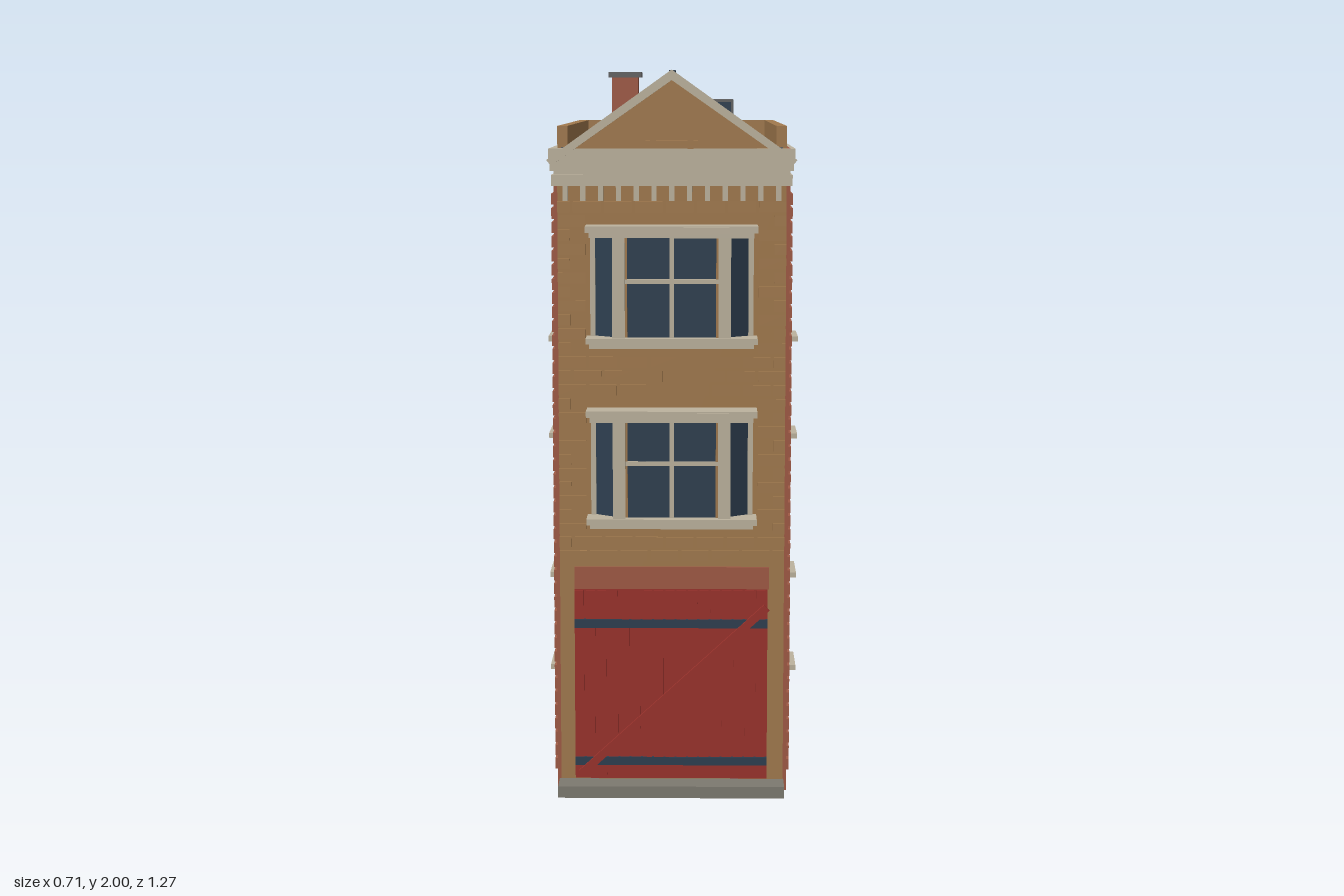
import * as THREE from 'three';
import { mergeGeometries } from 'three/addons/utils/BufferGeometryUtils.js';

const material = (name, color) => {
  const m = new THREE.MeshStandardMaterial({ color });
  m.name = name;
  return m;
};
const M = {
  red: material('red brick', 0xa05a45),
  tan: material('tan brick', 0xa27a4e),
  stone: material('pale stone', 0xbdb39e),
  navy: material('navy slate and glass', 0x2e3f50),
  deck: material('roof grey', 0x626262),
  door: material('door red', 0x9a322c),
  step: material('step grey', 0x7d7a70),
  iron: material('dark iron', 0x3b4048),
  base: material('foundation', 0x4a463f),
};

// Box geometry given by its extents
function boxGeo(x0, x1, y0, y1, z0, z1) {
  return new THREE.BoxGeometry(x1 - x0, y1 - y0, z1 - z0)
    .translate((x0 + x1) / 2, (y0 + y1) / 2, (z0 + z1) / 2);
}

function add(parent, name, mat, ...geos) {
  const geo = geos.length > 1 ? mergeGeometries(geos) : geos[0];
  const mesh = new THREE.Mesh(geo, mat);
  mesh.name = name;
  parent.add(mesh);
  return mesh;
}

// Outline in x,y pushed out from z0 to z1, with rectangular holes [u0, u1, v0, v1]
function slab(points, z0, z1, holes = []) {
  const shape = new THREE.Shape(points.map(p => new THREE.Vector2(...p)));
  for (const [a, b, c, d] of holes) {
    shape.holes.push(new THREE.Path([[a, c], [a, d], [b, d], [b, c]].map(p => new THREE.Vector2(...p))));
  }
  return new THREE.ExtrudeGeometry(shape, { depth: z1 - z0, bevelEnabled: false }).translate(0, 0, z0);
}

// Raised bricks in running bond on the plane z = 0, leaving the given rectangles bare
function brickwork(u0, u1, v0, v1, holes) {
  const pitch = 0.0385, length = 0.084, gap = 0.009, geos = [];
  const rows = Math.floor((v1 - v0) / pitch);
  for (let r = 0; r < rows; r++) {
    const b = v0 + r * pitch, t = b + pitch - gap;
    for (let u = u0 - (r % 2) * length / 2; u < u1; u += length) {
      const l = Math.max(u, u0), e = Math.min(u + length - gap, u1);
      if (e - l < 0.012) continue;
      if (holes.some(h => l < h[1] && e > h[0] && b < h[3] && t > h[2])) continue;
      geos.push(boxGeo(l, e, b, t, -0.004, 0.007));
    }
  }
  return mergeGeometries(geos);
}

const FLOORS = [[0.285, 0.56], [0.965, 1.245]];
const grow = (h, m) => [h[0] - m, h[1] + m, h[2] - m, h[3] + m];

// Long wall in local x,y facing +z; dir turns it to the +x or -x side
function sideWall(dir) {
  const wall = new THREE.Group();
  wall.name = dir > 0 ? 'leftWall' : 'rightWall';
  wall.rotation.y = dir * Math.PI / 2;
  const at = z => -dir * z;
  const holes = [];
  for (const z of [0.202, -0.312]) for (const [b, t] of FLOORS) holes.push([at(z) - 0.072, at(z) + 0.072, b, t]);
  const ends = [at(-0.628), at(0.54)].sort((a, b) => a - b);
  const outline = [[ends[0], 0], [ends[1], 0], [ends[1], 1.79], [ends[0], 1.79]];
  add(wall, 'wallPanel', M.red, slab(outline, 0.26, 0.32, holes));
  add(wall, 'sideBricks', M.red, brickwork(ends[0], ends[1], 0.06, 1.7, holes.map(h => grow(h, 0.012)))).position.z = 0.32;
  // Recessed windows with tan reveals, stone sills and lintels
  for (const [a, b, c, d] of holes) {
    add(wall, 'sideWindowGlass', M.navy, boxGeo(a, b, c, d, 0.262, 0.27));
    add(wall, 'sideWindowFrame', M.tan,
      boxGeo(a, a + 0.008, c, d, 0.27, 0.333), boxGeo(b - 0.008, b, c, d, 0.27, 0.333));
    add(wall, 'sideSillAndLintel', M.stone,
      boxGeo(a - 0.006, b + 0.006, c - 0.007, c + 0.008, 0.27, 0.355),
      boxGeo(a - 0.006, b + 0.006, d - 0.008, d + 0.007, 0.27, 0.355));
  }
  return wall;
}

// Canted bay window standing on the front wall between two stone ledges
function bayWindow(y0, y1) {
  const bay = new THREE.Group();
  bay.name = 'bayWindow';
  const b = y0 + 0.025, t = y1 - 0.025, mid = (b + t) / 2 + 0.015;
  const plan = [[-0.215, -0.54], [-0.145, -0.592], [0.145, -0.592], [0.215, -0.54]];
  add(bay, 'bayGlass', M.navy, slab(plan, b, t).rotateX(-Math.PI / 2));
  add(bay, 'bayLedges', M.stone,
    boxGeo(-0.222, 0.222, y0, y0 + 0.012, 0.54, 0.618), boxGeo(-0.232, 0.232, y0 + 0.012, y0 + 0.028, 0.54, 0.627),
    boxGeo(-0.222, 0.222, y1 - 0.032, y1 - 0.018, 0.54, 0.618), boxGeo(-0.232, 0.232, y1 - 0.018, y1, 0.54, 0.627),
    boxGeo(-0.155, 0.155, y1 - 0.016, y1 - 0.003, 0.62, 0.633));
  const bars = [boxGeo(-0.006, 0.006, b, t, 0.59, 0.602), boxGeo(-0.14, 0.14, mid - 0.006, mid + 0.006, 0.59, 0.6)];
  for (const s of [-1, 1]) {
    bars.push(boxGeo(s * 0.143 - 0.017, s * 0.143 + 0.017, b, t, 0.58, 0.615));
    bars.push(boxGeo(s * 0.215 - 0.007, s * 0.215 + 0.007, b, t, 0.54, 0.553));
  }
  add(bay, 'bayPosts', M.stone, ...bars);
  add(bay, 'bayInnerFrame', M.tan,
    boxGeo(-0.126, -0.12, b, t, 0.59, 0.598), boxGeo(0.12, 0.126, b, t, 0.59, 0.598));
  return bay;
}

export function createModel() {
  const house = new THREE.Group();
  house.name = 'townhouse';

  // Floor and step
  add(house, 'foundation', M.base, boxGeo(-0.315, 0.315, -0.001, 0.02, -0.62, 0.53));
  add(house, 'frontStep', M.step, boxGeo(-0.315, 0.312, 0, 0.033, 0.53, 0.617));

  // Side walls and drainpipes
  for (const s of [-1, 1]) {
    house.add(sideWall(s));
    add(house, 'drainpipe', M.iron, boxGeo(s * 0.339 - 0.007, s * 0.339 + 0.007, 0, 1.78, -0.591, -0.576));
  }

  // Back wall with two plain windows
  const back = new THREE.Group();
  back.name = 'backWall';
  back.rotation.y = Math.PI;
  house.add(back);
  const backHoles = FLOORS.map(([b, t]) => [-0.1, 0.1, b, t]);
  add(back, 'backPanel', M.red, boxGeo(-0.26, 0.26, 0, 1.79, 0.59, 0.628));
  add(back, 'backBricks', M.red, brickwork(-0.32, 0.32, 0.06, 1.8, backHoles.map(h => grow(h, 0.008)))).position.z = 0.628;
  for (const [a, b, c, d] of backHoles) {
    add(back, 'backWindowGlass', M.navy, boxGeo(a, b, c, d, 0.626, 0.632));
    add(back, 'backWindowFrame', M.red,
      boxGeo(a - 0.008, a, c - 0.008, d + 0.008, 0.626, 0.636), boxGeo(b, b + 0.008, c - 0.008, d + 0.008, 0.626, 0.636),
      boxGeo(a, b, c - 0.008, c, 0.626, 0.636), boxGeo(a, b, d, d + 0.008, 0.626, 0.636));
  }

  // Front wall
  const bays = [[0.76, 1.085], [1.255, 1.585]];
  const frontBare = [[-0.28, 0.28, 0, 0.645], ...bays.map(([b, t]) => [-0.225, 0.225, b, t])];
  add(house, 'frontPanel', M.tan, boxGeo(-0.31, 0.31, 0.02, 1.72, 0.5, 0.543));
  add(house, 'frontBricks', M.tan, brickwork(-0.31, 0.31, 0.04, 1.67, frontBare)).position.z = 0.543;
  for (const [b, t] of bays) house.add(bayWindow(b, t));

  // Garage door with planks, straps and a diagonal brace
  const door = new THREE.Group();
  door.name = 'garageDoor';
  house.add(door);
  add(door, 'doorHeader', M.red, boxGeo(-0.27, 0.268, 0.578, 0.64, 0.54, 0.55));
  add(door, 'doorPanel', M.door, boxGeo(-0.27, 0.265, 0.035, 0.578, 0.53, 0.545));
  const planks = [], count = 17, w = 0.535 / count;
  for (let i = 0; i < count; i++) planks.push(boxGeo(-0.27 + i * w, -0.27 + (i + 1) * w - 0.006, 0.045, 0.573, 0.545, 0.55));
  add(door, 'doorPlanks', M.door, ...planks);
  add(door, 'doorStraps', M.navy,
    boxGeo(-0.27, 0.265, 0.468, 0.492, 0.545, 0.554), boxGeo(-0.27, 0.265, 0.075, 0.098, 0.545, 0.554));
  const brace = add(door, 'doorBrace', M.door, new THREE.BoxGeometry(0.7, 0.022, 0.01));
  brace.position.set(0.005, 0.29, 0.556);
  brace.rotation.z = Math.atan2(0.48, 0.52);

  // Stone cornice along the front and sides, with dentils below
  for (const [y0, y1, p] of [[1.69, 1.72, 0.003], [1.72, 1.73, -0.003], [1.73, 1.752, 0.006],
    [1.752, 1.764, -0.001], [1.764, 1.79, 0.01]]) {
    const x = 0.322 + p;
    add(house, 'cornice', M.stone, boxGeo(-x, x, y0, y1, 0.53, 0.567 + p),
      boxGeo(-x, -0.3, y0, y1, -0.62, 0.53), boxGeo(0.3, x, y0, y1, -0.62, 0.53));
  }
  const dentils = [];
  for (let i = 0; i < 13; i++) dentils.push(boxGeo(-0.295 + i * 0.048, -0.281 + i * 0.048, 1.65, 1.69, 0.54, 0.562));
  add(house, 'dentils', M.stone, ...dentils);

  // Flat roof and parapet
  add(house, 'roofDeck', M.deck, boxGeo(-0.3, 0.3, 1.74, 1.793, -0.61, 0.53));
  add(house, 'parapet', M.tan, boxGeo(-0.31, -0.282, 1.775, 1.85, -0.625, 0.528),
    boxGeo(0.282, 0.31, 1.775, 1.85, -0.625, 0.528), boxGeo(-0.282, 0.282, 1.775, 1.85, -0.625, -0.598));

  // Front gable with a slate roof behind it
  add(house, 'gableBody', M.tan, slab([[-0.28, 1.77], [0.28, 1.77], [0, 1.983]], 0.25, 0.55));
  add(house, 'gableFace', M.tan, slab([[-0.3, 1.77], [0.3, 1.77], [0, 1.985]], 0.545, 0.562));
  add(house, 'gableRoof', M.navy,
    slab([[-0.282, 1.785], [0, 1.982], [0.282, 1.785], [0.282, 1.799], [0, 1.997], [-0.282, 1.799]], 0.24, 0.557));
  add(house, 'roofRidge', M.navy, boxGeo(-0.008, 0.008, 1.985, 1.999, 0.24, 0.557));
  add(house, 'gableTrim', M.stone,
    slab([[-0.325, 1.745], [0, 1.972], [0.325, 1.745], [0.337, 1.76], [0, 2], [-0.337, 1.76]], 0.553, 0.58));
  add(house, 'gableVent', M.tan,
    boxGeo(-0.058, -0.042, 1.79, 1.88, 0.56, 0.58), boxGeo(0.042, 0.058, 1.79, 1.88, 0.56, 0.58),
    ...[1.80, 1.825, 1.845, 1.865].map((y, i) => {
      const h = i % 3 ? 0.05 : 0.07;
      return boxGeo(-h, h, y, y + 0.011, 0.56, i % 3 ? 0.575 : 0.586);
    }));

  // Chimney and roof vent
  add(house, 'chimney', M.red, boxGeo(-0.195, -0.115, 1.77, 1.985, -0.413, -0.332));
  add(house, 'chimneyCap', M.deck, boxGeo(-0.206, -0.104, 1.984, 2, -0.424, -0.321));
  add(house, 'roofVent', M.deck, boxGeo(0.043, 0.175, 1.77, 1.918, -0.26, -0.1));
  add(house, 'roofVentGrille', M.navy, boxGeo(0.05, 0.168, 1.8, 1.91, -0.1, -0.092));
  return house;
}
